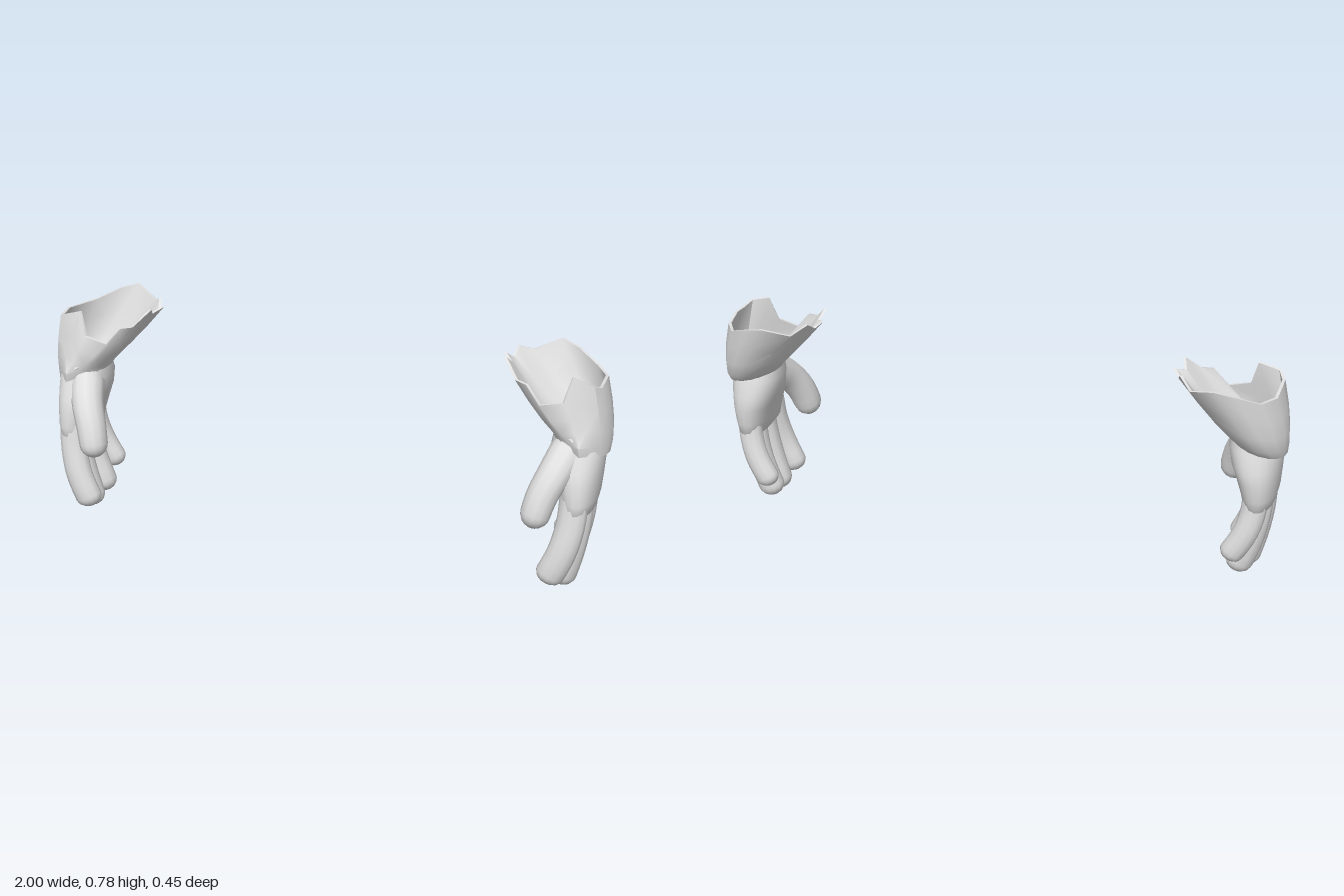
import * as THREE from 'three';
import { toCreasedNormals } from 'three/addons/utils/BufferGeometryUtils.js';

const glove = new THREE.MeshStandardMaterial({ color: 0xe0e0e0, side: THREE.DoubleSide });
glove.name = 'light grey';

// Skin through closed rings of equal size; side -1 mirrors it across x = 0.
function loft(name, rings, side, crease) {
  const n = rings[0].length, pos = [], index = [];
  rings.forEach(r => r.forEach(p => pos.push(p.x * side, p.y, p.z)));
  for (let i = 0; i < rings.length - 1; i++) {
    for (let j = 0; j < n; j++) {
      const k = (j + 1) % n;
      const a = i * n + j, b = i * n + k, c = a + n, d = b + n;
      if (side > 0) index.push(a, c, b, b, c, d);
      else index.push(a, b, c, b, d, c);
    }
  }
  const g = new THREE.BufferGeometry();
  g.setAttribute('position', new THREE.Float32BufferAttribute(pos, 3));
  g.setIndex(index);
  const mesh = new THREE.Mesh(toCreasedNormals(g, crease), glove);
  mesh.name = name;
  return mesh;
}

// Round-ended digit along a smooth path, radius going from r0 to r1; depth widens it palm to back.
function digit(name, points, r0, r1, depth, side) {
  const curve = new THREE.CatmullRomCurve3(points.map(p => new THREE.Vector3(...p)));
  const length = curve.getLength(), start = 1 - r1 / length, stops = [];
  for (let i = 0; i < 9; i++) stops.push([start * i / 8, 1]);
  for (let i = 1; i <= 5; i++) {
    const a = i / 5 * Math.PI / 2;
    stops.push([start + (1 - start) * Math.sin(a), Math.max(Math.cos(a), 0.001)]);
  }
  const rings = stops.map(([t, k]) => {
    const c = curve.getPointAt(Math.min(t, 1)), T = curve.getTangentAt(Math.min(t, 1));
    const U = new THREE.Vector3().crossVectors(T, new THREE.Vector3(0, 0, 1)).normalize();
    const V = new THREE.Vector3().crossVectors(U, T);
    const r = (r0 + (r1 - r0) * t) * k;
    return Array.from({ length: 12 }, (_, j) => {
      const a = j / 12 * Math.PI * 2;
      return c.clone().addScaledVector(U, r * depth * Math.cos(a)).addScaledVector(V, r * Math.sin(a));
    });
  });
  return loft(name, rings, side, 1.4);
}

// Palm sections, bottom to top: y, centre x, half thickness, centre z, half width
const PALM = [
  [0.272, 0.912, 0.001, 0.015, 0.06], [0.278, 0.912, 0.034, 0.015, 0.11],
  [0.3, 0.914, 0.053, 0.015, 0.13], [0.34, 0.913, 0.062, 0.012, 0.134],
  [0.40, 0.906, 0.073, 0.005, 0.137], [0.45, 0.898, 0.084, 0, 0.13],
  [0.51, 0.893, 0.09, -0.007, 0.106], [0.56, 0.893, 0.082, -0.01, 0.09],
];

function palm(side) {
  const sq = v => Math.sign(v) * Math.abs(v) ** 0.88;
  const rings = PALM.map(([y, cx, rx, cz, rz]) => Array.from({ length: 24 }, (_, j) => {
    const a = j / 24 * Math.PI * 2;
    return new THREE.Vector3(cx + rx * sq(Math.cos(a)), y, cz + rz * sq(Math.sin(a)));
  }));
  return loft('palm', rings, side, 1.4);
}

// Torn rim of the cuff, from the outer side round by the front
const RIM = [
  [0.965, 0.735, -0.02], [0.963, 0.73, 0.035], [0.945, 0.745, 0.072], [0.875, 0.765, 0.068],
  [0.85, 0.68, 0.085], [0.77, 0.66, 0.085], [0.72, 0.72, 0.07], [0.68, 0.725, 0.055],
  [0.628, 0.778, 0.005], [0.64, 0.75, -0.03], [0.612, 0.765, -0.065], [0.635, 0.745, -0.09],
  [0.645, 0.772, -0.125], [0.69, 0.745, -0.175], [0.775, 0.778, -0.224], [0.84, 0.76, -0.205],
  [0.92, 0.725, -0.155], [0.96, 0.722, -0.09],
].map(p => new THREE.Vector3(...p));

function cuff(side) {
  const n = RIM.length;
  const ring = (cx, rx, cz, rz, y, tilt) => RIM.map((_, j) => {
    const a = j / n * Math.PI * 2;
    return new THREE.Vector3(cx + rx * Math.cos(a), y - tilt * Math.cos(a), cz + rz * Math.sin(a));
  });
  const hem = ring(0.9, 0.096, -0.01, 0.101, 0.515, 0.027);
  const band = ring(0.895, 0.105, -0.021, 0.119, 0.545, 0.018);
  const wall = t => band.map((p, j) => {
    const q = p.clone().lerp(RIM[j], t);
    q.x += 0.006 * Math.cos(j / n * Math.PI * 2);
    q.z += 0.006 * Math.sin(j / n * Math.PI * 2);
    return q;
  });
  const lower = wall(0.25), upper = wall(0.6);
  // Bunched fold at the front of the wrist
  hem[4].z += 0.03;
  band[4].z += 0.026;
  // Inner wall: every ring drawn in towards its own centre
  const inner = points => {
    const c = points.reduce((s, p) => s.add(p), new THREE.Vector3()).divideScalar(n);
    return points.map(p => {
      const d = new THREE.Vector3(c.x - p.x, 0, c.z - p.z).setLength(0.01);
      return p.clone().add(d);
    });
  };
  const outside = [hem, band, lower, upper, RIM];
  const lining = outside.map(inner);
  return loft('cuff', [lining[0], ...outside, ...lining.reverse()], side, 0.9);
}

// name, path from knuckle to tip, radius at knuckle, radius at tip, depth
const DIGITS = [
  ['indexFinger', [[0.908, 0.36, 0.1], [0.904, 0.26, 0.115], [0.883, 0.16, 0.13], [0.834, 0.042, 0.134]], 0.038, 0.039, 1.28],
  ['middleFinger', [[0.92, 0.36, 0.05], [0.918, 0.26, 0.054], [0.9, 0.14, 0.056], [0.864, 0.003, 0.055]], 0.039, 0.044, 1.15],
  ['ringFinger', [[0.92, 0.36, -0.015], [0.917, 0.27, -0.026], [0.898, 0.16, -0.031], [0.852, 0.023, -0.031]], 0.039, 0.042, 1.15],
  ['littleFinger', [[0.912, 0.36, -0.072], [0.907, 0.28, -0.081], [0.885, 0.2, -0.091], [0.832, 0.1, -0.096]], 0.036, 0.036, 1.2],
  ['thumb', [[0.868, 0.5, 0.045], [0.84, 0.44, 0.115], [0.81, 0.37, 0.156], [0.786, 0.266, 0.186]], 0.06, 0.048, 1],
];

function hand(name, side) {
  const g = new THREE.Group();
  g.name = name;
  g.add(palm(side), cuff(side));
  for (const [part, path, r0, r1, depth] of DIGITS) g.add(digit(part, path, r0, r1, depth, side));
  return g;
}

export function createModel() {
  const model = new THREE.Group();
  model.name = 'pairOfGloves';
  model.add(hand('leftGlove', 1), hand('rightGlove', -1));
  return model;
}
